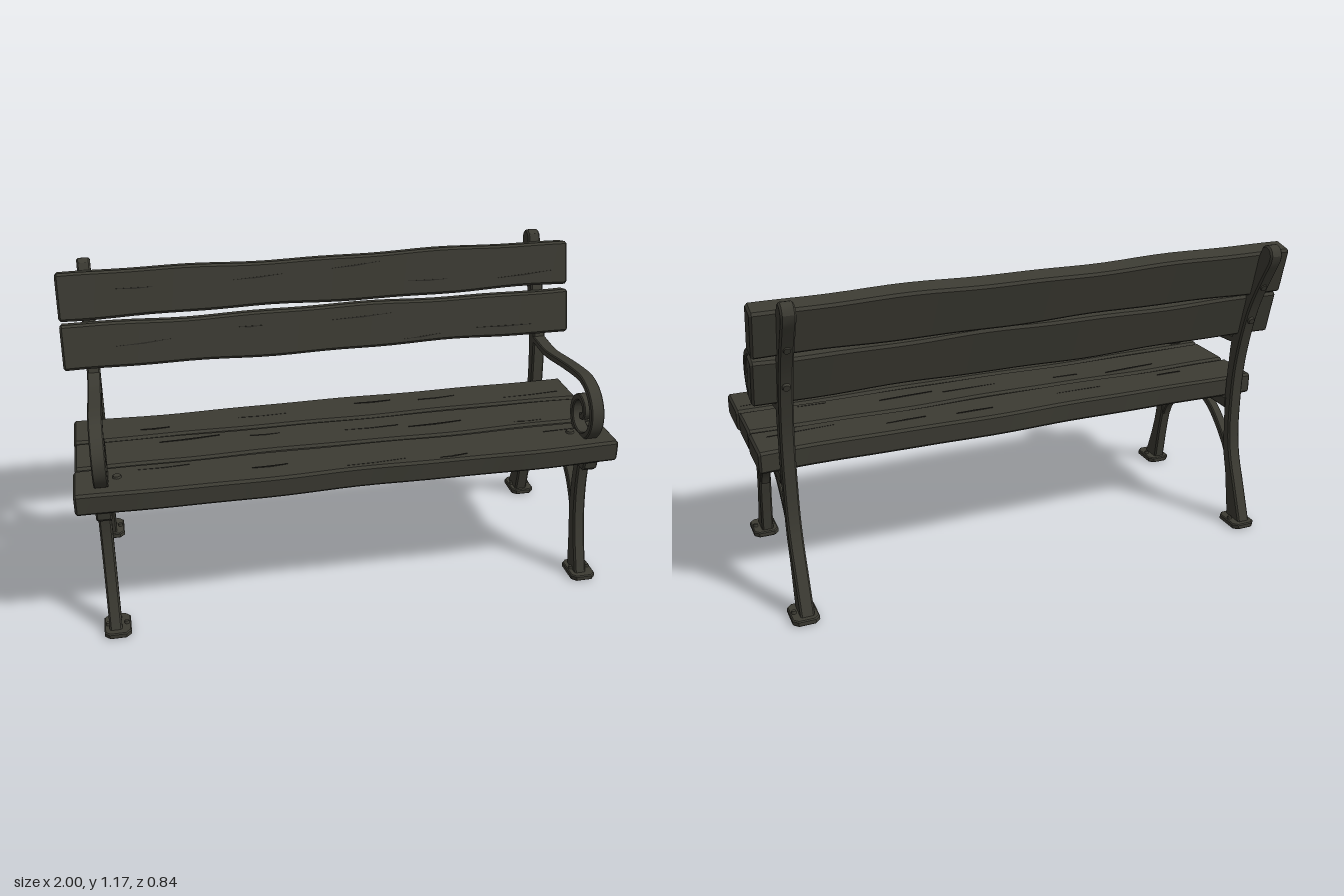
import * as THREE from 'three';
import { toCreasedNormals } from 'three/addons/utils/BufferGeometryUtils.js';

const paint = new THREE.MeshStandardMaterial({ color: 0x3c3b33 });
paint.name = 'dark bench paint';
const crackPaint = new THREE.MeshStandardMaterial({ color: 0x2b2a25 });
crackPaint.name = 'dark wood crack';

const vecs = (pts) => pts.map(([x, y]) => new THREE.Vector2(x, y));
const spline = (pts, n) => new THREE.SplineCurve(vecs(pts)).getPoints(n);

function mesh(name, geometry, material = paint) {
  const m = new THREE.Mesh(geometry, material);
  m.name = name;
  return m;
}

// Side profile drawn in (z, y), given a width in x and softened edges
function profile(name, points, width, bevel = 0.006) {
  const g = new THREE.ExtrudeGeometry(new THREE.Shape(points), {
    depth: width - 2 * bevel, bevelEnabled: true, bevelSegments: 1,
    bevelSize: bevel, bevelThickness: bevel, bevelOffset: -bevel,
  });
  g.translate(0, 0, bevel - width / 2);
  g.rotateY(-Math.PI / 2);
  return mesh(name, toCreasedNormals(g, 0.5));
}

// Strip of iron following a centre line, with a half thickness that may vary
function ribbon(name, path, n, half, width) {
  const curve = new THREE.SplineCurve(vecs(path));
  const left = [], right = [];
  for (let i = 0; i <= n; i++) {
    const t = i / n, p = curve.getPoint(t), d = curve.getTangent(t), h = half(t);
    left.push(new THREE.Vector2(p.x - d.y * h, p.y + d.x * h));
    right.unshift(new THREE.Vector2(p.x + d.y * h, p.y - d.x * h));
  }
  return profile(name, [...left, ...right], width, 0.004);
}

// Weathered plank: length along x, width along y, face towards +z
function plank(name, length, width, thick, seed) {
  const group = new THREE.Group();
  group.name = name;
  const w = width / 2, t = thick / 2, c = 0.009, b = 0.008;
  const shape = new THREE.Shape(vecs([
    [-t + c, -w], [t - c, -w], [t, -w + c], [t, w - c],
    [t - c, w], [-t + c, w], [-t, w - c], [-t, -w + c],
  ]));
  const g = new THREE.ExtrudeGeometry(shape, {
    depth: length - 2 * b, steps: 30, bevelEnabled: true, bevelSegments: 1,
    bevelSize: b, bevelThickness: b, bevelOffset: -b,
  });
  g.translate(0, 0, b - length / 2);
  g.rotateY(Math.PI / 2);
  const p = g.attributes.position;
  for (let i = 0; i < p.count; i++) {
    const x = p.getX(i), y = p.getY(i), s = Math.sign(y);
    const wave = Math.sin(x * 5.3 + seed * 2.1 + s) + 0.6 * Math.sin(x * 13 + seed * 3.7 + s * 2);
    p.setY(i, y + 0.0035 * wave);
    p.setZ(i, p.getZ(i) + 0.0012 * Math.sin(x * 7 + seed));
  }
  g.computeVertexNormals();
  group.add(mesh('board', toCreasedNormals(g, 0.35)));

  // Thin tapering cracks in the face
  for (let k = 0; k < 5; k++) {
    const r = (n) => { const v = Math.sin(seed * 12.9 + k * 78.2 + n * 37.7) * 4375.5; return v - Math.floor(v); };
    const l = 0.05 + 0.08 * r(1);
    const crack = mesh('crack', new THREE.ExtrudeGeometry(new THREE.Shape(vecs([
      [-l, 0], [0, -0.003], [l, 0.004], [l * 0.2, 0.003],
    ])), { depth: 0.003, bevelEnabled: false }), crackPaint);
    crack.position.set((-0.4 + 0.2 * k + 0.1 * r(2)) * length * 0.9, (r(3) - 0.5) * width * 0.75, t - 0.001);
    crack.rotation.z = (r(4) - 0.5) * 0.12;
    group.add(crack);
  }
  return group;
}

function bolt(name, x, y, z, tilt, r = 0.016) {
  const b = mesh(name, new THREE.CylinderGeometry(r * 0.75, r, 0.012, 10));
  b.position.set(x, y, z);
  b.rotation.x = tilt;
  return b;
}

// Clipped-corner floor plate with two bolts
function foot(name, z) {
  const group = new THREE.Group();
  group.name = name;
  const a = 0.048, d = 0.063, c = 0.018;
  const g = new THREE.ExtrudeGeometry(new THREE.Shape(vecs([
    [-a + c, -d], [a - c, -d], [a, -d + c], [a, d - c],
    [a - c, d], [-a + c, d], [-a, d - c], [-a, -d + c],
  ])), { depth: 0.014, bevelSegments: 1, bevelSize: 0.004, bevelThickness: 0.004, bevelOffset: -0.004 });
  g.rotateX(-Math.PI / 2);
  g.translate(0, 0.004, 0);
  group.add(mesh('footPlate', g));
  for (const s of [-1, 1]) group.add(bolt('footBolt', s * 0.033, 0.026, 0, 0, 0.01));
  group.position.set(0.007, 0, z);
  return group;
}

function sideFrame(name, x) {
  const f = new THREE.Group();
  f.name = name;

  // Front leg, flared at the floor
  f.add(profile('frontLeg', [
    ...spline([[0.40, 0.012], [0.357, 0.133], [0.33, 0.24], [0.317, 0.365], [0.322, 0.475]], 14),
    ...spline([[0.278, 0.475], [0.27, 0.365], [0.274, 0.257], [0.292, 0.164], [0.314, 0.012]], 14),
  ], 0.045));

  // Back leg sweeping up into the rounded backrest post
  f.add(profile('backPost', [
    ...spline([[-0.272, 0.012], [-0.257, 0.087], [-0.237, 0.195], [-0.212, 0.287], [-0.197, 0.457],
      [-0.194, 0.535], [-0.2, 0.66], [-0.215, 0.78], [-0.288, 0.98], [-0.345, 1.13]], 36),
    ...spline([[-0.357, 1.155], [-0.382, 1.166], [-0.408, 1.155], [-0.419, 1.13]], 8),
    ...spline([[-0.413, 1.105], [-0.35, 0.99], [-0.305, 0.89], [-0.273, 0.78], [-0.249, 0.66], [-0.24, 0.535],
      [-0.243, 0.38], [-0.264, 0.27], [-0.305, 0.164], [-0.364, 0.012]], 36),
  ], 0.05));

  // Rail under the seat
  f.add(profile('seatRail', vecs([
    [0.38, 0.508], [0.376, 0.475], [0.36, 0.46], [-0.21, 0.46], [-0.21, 0.508],
  ]), 0.055));

  // Arched brace between the legs
  f.add(ribbon('archBrace', [[0.283, 0.25], [0.262, 0.295], [0.215, 0.358], [0.15, 0.412], [0.08, 0.442],
    [0.03, 0.448], [-0.03, 0.442], [-0.09, 0.412], [-0.15, 0.36], [-0.2, 0.305], [-0.225, 0.265]],
  36, () => 0.014, 0.036));

  // Armrest ending in a scroll
  f.add(ribbon('scrollArmrest', [[-0.235, 0.757], [-0.16, 0.751], [-0.075, 0.75], [0.08, 0.773], [0.19, 0.787],
    [0.267, 0.789], [0.335, 0.763], [0.377, 0.71], [0.379, 0.65], [0.348, 0.602], [0.295, 0.58],
    [0.24, 0.595], [0.213, 0.64], [0.223, 0.69], [0.262, 0.719], [0.3, 0.711],
    [0.317, 0.683], [0.306, 0.659], [0.284, 0.653]],
  90, (t) => 0.0135 - 0.001 * t, 0.05));

  f.add(foot('frontFoot', 0.358), foot('backFoot', -0.318));

  // Bolts through the post
  f.add(bolt('postBolt', 0, 0.997, -0.353, -Math.PI / 2 - 0.4));
  f.add(bolt('postBolt', 0, 0.85, -0.295, -Math.PI / 2 - 0.3));
  f.position.x = x;
  return f;
}

export function createModel() {
  const bench = new THREE.Group();
  bench.name = 'parkBench';

  bench.add(sideFrame('leftFrame', 0.89));
  const right = sideFrame('rightFrame', -0.89);
  right.rotation.y = 0;
  bench.add(right);

  // Three seat planks: [centre z, width, length]
  [[0.302, 0.19, 1.97], [0.1, 0.188, 1.96], [-0.098, 0.183, 1.965]].forEach(([z, w, len], i) => {
    const p = plank('seatPlank', len, w, 0.081, i + 1);
    p.rotation.x = -Math.PI / 2;
    p.position.set(0, 0.545, z);
    bench.add(p);
  });
  for (const s of [-1, 1]) bench.add(bolt('seatBolt', s * 0.835, 0.588, 0.285, 0, 0.018));

  // Two leaning backrest planks: [y, z, thickness]
  [[1.053, -0.288, 0.082], [0.87, -0.235, 0.07]].forEach(([y, z, t], i) => {
    const p = plank('backPlank', 1.995, 0.172, t, i + 5);
    p.rotation.x = -0.23;
    p.position.set(0, y, z);
    bench.add(p);
  });
  return bench;
}
